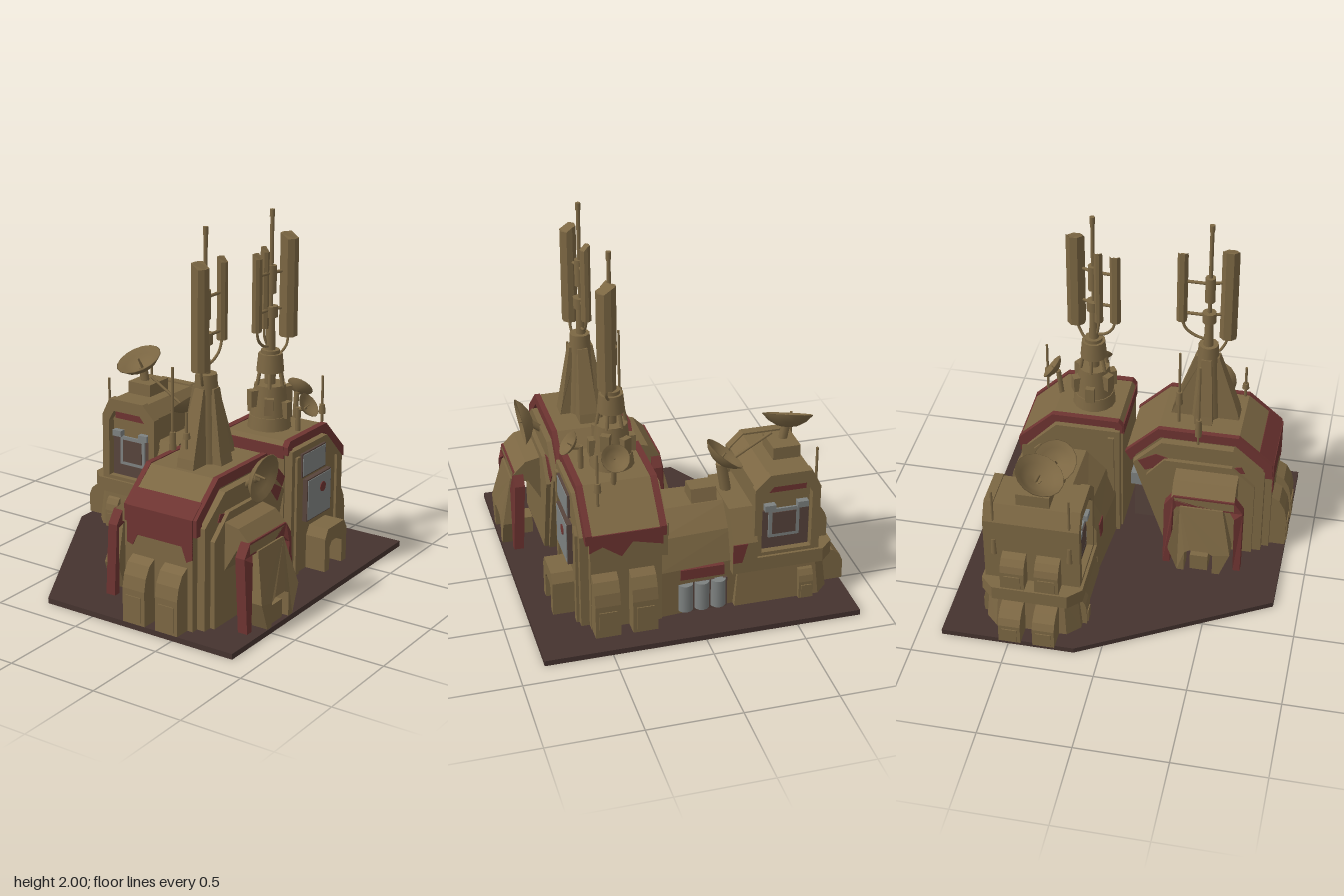
import * as THREE from 'three';

const mat = (name, color) => {
  const m = new THREE.MeshStandardMaterial({ color });
  m.name = name;
  return m;
};

export function createModel() {
  const root = new THREE.Group();
  const tan = mat('tan', 0x7c6743), red = mat('faded red', 0x6e3431), dark = mat('dark earth', 0x45332f),
    silver = mat('silver', 0x7d8180), brown = mat('brown', 0x57443c);

  const add = (name, geo, m, x = 0, y = 0, z = 0) => {
    const mesh = new THREE.Mesh(geo, m);
    mesh.name = name;
    mesh.position.set(x, y, z);
    root.add(mesh);
    return mesh;
  };
  const box = (name, m, x, y, z, w, h, d) => add(name, new THREE.BoxGeometry(w, h, d), m, x, y, z);
  const cyl = (name, m, x, y0, y1, z, rb, rt = rb, n = 12) =>
    add(name, new THREE.CylinderGeometry(rt, rb, y1 - y0, n), m, x, (y0 + y1) / 2, z);
  const shapeOf = (pts, hole) => {
    const s = new THREE.Shape(pts.map(p => new THREE.Vector2(...p)));
    if (hole) s.holes.push(new THREE.Path(hole.map(p => new THREE.Vector2(...p))));
    return s;
  };
  const extrude = (pts, depth, hole) =>
    new THREE.ExtrudeGeometry(shapeOf(pts, hole), { depth, bevelEnabled: false });
  // extrusions along x from (z, y), along y from (x, z), along z from (x, y)
  const alongX = (pts, x0, x1) => extrude(pts.map(([z, y]) => [-z, y]), x1 - x0).rotateY(Math.PI / 2).translate(x0, 0, 0);
  const alongY = (pts, y0, y1) => extrude(pts.map(([x, z]) => [x, -z]), y1 - y0).rotateX(-Math.PI / 2).translate(0, y0, 0);
  const alongZ = (pts, z0, z1, hole) => extrude(pts, z1 - z0, hole).translate(0, 0, z0);
  const warp = (geo, f) => {
    const p = geo.attributes.position, v = new THREE.Vector3();
    for (let i = 0; i < p.count; i++) {
      f(v.fromBufferAttribute(p, i));
      p.setXYZ(i, v.x, v.y, v.z);
    }
    geo.computeVertexNormals();
    return geo;
  };
  // reflects a triangle soup in x and restores its winding
  const mirrorX = geo => {
    const g = geo.index ? geo.toNonIndexed() : geo;
    const p = g.attributes.position, a = new THREE.Vector3(), b = new THREE.Vector3();
    g.scale(-1, 1, 1);
    for (let i = 0; i < p.count; i += 3) {
      a.fromBufferAttribute(p, i + 1);
      b.fromBufferAttribute(p, i + 2);
      p.setXYZ(i + 1, b.x, b.y, b.z);
      p.setXYZ(i + 2, a.x, a.y, a.z);
    }
    g.computeVertexNormals();
    return g;
  };
  const rod = (name, a, b, r, m = tan) => {
    const A = new THREE.Vector3(...a), B = new THREE.Vector3(...b), d = B.clone().sub(A);
    const mesh = add(name, new THREE.CylinderGeometry(r, r, d.length(), 8), m);
    mesh.position.copy(A.add(B).multiplyScalar(0.5));
    mesh.quaternion.setFromUnitVectors(new THREE.Vector3(0, 1, 0), d.normalize());
  };
  const cable = (...pts) => add('cable', new THREE.TubeGeometry(
    new THREE.CatmullRomCurve3(pts.map(p => new THREE.Vector3(...p))), 16, 0.008, 6), tan);
  // thick bowl on a short feed, opening along dir
  const dish = (x, y, z, r, dir) => {
    const prof = [[0, -0.42], [0.4, -0.35], [0.75, -0.16], [1, 0.1], [0.97, 0.12], [0.7, -0.08], [0.4, -0.26], [0, -0.34]];
    const g = new THREE.LatheGeometry(prof.map(p => new THREE.Vector2(p[0] * r, p[1] * r)), 16);
    const d = add('dish', g, tan, x, y, z);
    d.quaternion.setFromUnitVectors(new THREE.Vector3(0, 1, 0), new THREE.Vector3(...dir).normalize());
    const feed = new THREE.Mesh(new THREE.CylinderGeometry(r * 0.04, r * 0.06, r * 0.5, 6), tan);
    feed.name = 'dishFeed';
    feed.position.y = -r * 0.1;
    d.add(feed);
  };
  // rounded vent hood, facing +z before turning
  const hood = (x, y, z, turn, h, d, w = 0.135) => {
    const prof = [[-0.03, 0], [d, 0], [d, h * 0.55], [d * 0.85, h * 0.75], [d * 0.5, h * 0.92], [0, h], [-0.03, h]];
    add('ventHood', alongX(prof, -w / 2, w / 2), tan, x, y, z).rotation.y = turn;
    const n = new THREE.Vector3(Math.sin(turn), 0, Math.cos(turn));
    const rim = add('hoodRim', new THREE.BoxGeometry(w * 0.7, h * 0.4, 0.012), tan, x + n.x * d, y + h * 0.25, z + n.z * d);
    rim.rotation.y = turn;
  };

  // ground plate
  add('basePlate', alongY([[-0.85, -0.87], [0.86, -0.87], [0.86, 0.86], [-0.29, 0.86], [-0.85, -0.14]], 0, 0.03), dark);

  // front hall
  const hc = 0.365;
  const hall = [[0.77, 0.03], [0.77, 0.63], [0.575, 0.79], [0.127, 0.79], [-0.055, 0.61], [-0.02, 0.55], [0.15, 0.03]];
  add('hallBody', alongX(hall, hc - 0.2, hc + 0.2), tan);
  const trim = [[0.768, 0.54], [0.768, 0.63], [0.575, 0.795], [0.127, 0.795], [-0.06, 0.61], [-0.025, 0.55],
    [0.005, 0.6], [0.14, 0.74], [0.56, 0.74], [0.72, 0.6], [0.72, 0.54]];
  const step = [[0.73, 0.03], [0.73, 0.58], [0.55, 0.72], [0.15, 0.72], [-0.01, 0.56], [0.17, 0.03]];
  const step2 = [[0.68, 0.03], [0.68, 0.5], [0.55, 0.62], [0.17, 0.62], [0.07, 0.5], [0.19, 0.03]];
  const arch = [[0.64, 0.03], [0.64, 0.43], [0.59, 0.5], [0.25, 0.5], [0.2, 0.43], [0.2, 0.03],
    [0.24, 0.03], [0.25, 0.4], [0.27, 0.43], [0.57, 0.43], [0.595, 0.4], [0.6, 0.03]];
  const porch = [[0.53, 0.03], [0.585, 0.18], [0.53, 0.44], [0.29, 0.44], [0.235, 0.18], [0.29, 0.03],
    [0.33, 0.03], [0.33, 0.16], [0.36, 0.18], [0.46, 0.18], [0.49, 0.16], [0.49, 0.03]];
  for (const s of [1, -1]) {
    const side = (name, geo, m) => add(name, s > 0 ? geo : mirrorX(geo), m, hc);
    side('roofTrim', alongX(trim, 0.19, 0.22), red);
    side('sideStep', alongX(step, 0.19, 0.245), tan);
    side('innerStep', alongX(step2, 0.24, 0.27), tan);
    side('porchRoof', alongZ([[0.26, 0.58], [0.35, 0.56], [0.42, 0.49], [0.42, 0.44], [0.34, 0.44], [0.26, 0.3]], 0.24, 0.59), tan);
    side('redArch', warp(alongX(arch, 0.385, 0.44), v => { if (v.y > 0.42) v.x -= 0.02; }), red);
    side('porch', warp(alongX(porch, 0.4, 0.49), v => { if (v.x > 0.45 && v.y > 0.3) v.x = 0.43; }), tan);
    side('porchVent', alongX([[0.46, 0.03], [0.46, 0.13], [0.36, 0.13], [0.36, 0.03]], 0.3, 0.47), tan);
    // slanted wall patches
    side('wearPatch', alongX([[0.62, 0.58], [0.6, 0.62], [0.56, 0.61], [0.57, 0.57]], 0.244, 0.25), red);
    side('wearPatch', alongX([[0.06, 0.52], [0.02, 0.58], [0.12, 0.64], [0.19, 0.62], [0.15, 0.56]], 0.244, 0.25), red);
    hood(hc + s * 0.1, 0.03, 0.77, 0, 0.34, 0.09);
  }
  add('frontPaint', alongZ([[0.165, 0.63], [0.565, 0.63], [0.565, 0.42], [0.53, 0.4], [0.5, 0.48], [0.23, 0.48], [0.2, 0.42], [0.165, 0.43]],
    0.768, 0.775), red);
  add('eavePaint', alongX([[0.772, 0.63], [0.692, 0.7], [0.688, 0.695], [0.768, 0.625]], hc - 0.2, hc + 0.2), red);
  box('canister', brown, hc, 0.14, 0.03, 0.14, 0.22, 0.12);
  box('canisterTop', silver, hc, 0.295, 0, 0.14, 0.08, 0.11);

  // hall tower with four raking legs
  cyl('towerCore', tan, hc, 0.79, 1.2, 0.36, 0.09, 0.055);
  cyl('towerCap', tan, hc, 1.15, 1.25, 0.36, 0.062, 0.055);
  for (let i = 0; i < 4; i++) {
    const r = i % 2 ? 0.13 : 0.19;
    add('towerLeg', warp(alongX([[0.02, 0.79], [r, 0.79], [r - 0.01, 0.84], [0.065, 1.18], [0.02, 1.18]], -0.05, 0.05),
      v => { if (v.y > 1) v.x *= 0.55; }), tan, hc, 0, 0.36).rotation.y = i * Math.PI / 2;
  }

  // antenna masts: panels are [x, z, bottom, top, width, depth]
  const mast = (x, z, y0, top, panels) => {
    cyl('mastFoot', tan, x, y0, y0 + 0.2, z, 0.028, 0.022);
    cyl('mastRod', tan, x, y0, top, z, 0.011, 0.011, 8);
    cyl('mastSleeve', tan, x, 1.53, 1.68, z, 0.028);
    cyl('mastCollar', tan, x, 1.4, 1.46, z, 0.038);
    cyl('mastTip', tan, x, top - 0.04, top, z, 0.014);
    for (const [px, pz, b, t, w, d] of panels) {
      const c = w * 0.3;
      const pts = [[-w / 2 + c, -d / 2], [w / 2 - c, -d / 2], [w / 2, -d / 2 + c], [w / 2, d / 2 - c],
        [w / 2 - c, d / 2], [-w / 2 + c, d / 2], [-w / 2, d / 2 - c], [-w / 2, -d / 2 + c]];
      add('antennaPanel', warp(alongY(pts, b, t), v => { if (v.x > 0 && v.y > t - 0.01) v.y -= 0.025; }), tan, px, 0, pz);
      for (const y of [1.44, 1.64]) rod('panelBracket', [x, y, z], [px, y, pz], 0.009);
      cable([px, b + 0.01, pz], [px, b - 0.05, pz + (z - pz) * 0.15], [(x + px) / 2, b - 0.09, (z + pz) / 2], [x, y0 + 0.04, z]);
    }
  };
  mast(0.358, 0.36, 1.24, 2.0, [[0.395, 0.46, 1.29, 1.84, 0.08, 0.09], [0.36, 0.21, 1.39, 1.82, 0.05, 0.055]]);
  mast(0.35, -0.273, 1.2, 1.98, [[0.395, -0.378, 1.28, 1.84, 0.09, 0.095], [0.34, -0.15, 1.34, 1.76, 0.045, 0.055], [0.33, -0.24, 1.34, 1.78, 0.045, 0.045]]);

  // whip aerials: [x, z, bottom, top]
  for (const [x, z, b, t] of [[0.15, 0.35, 0.6, 1.24], [0.245, 0.225, 0.78, 1.25], [0.39, 0.57, 0.91, 1.1],
    [0.5, -0.58, 0.72, 1.02], [-0.67, -0.6, 0.32, 0.9], [-0.67, -0.19, 0.32, 0.9]]) {
    cyl('whipAerial', tan, x, b, t, z, 0.008, 0.007, 6);
    cyl('aerialBase', tan, x, b + (t - b) * 0.28, b + (t - b) * 0.45, z, 0.02, 0.016, 8);
  }
  dish(0.7, 0.755, 0.35, 0.13, [1, -0.15, 0]);
  rod('dishArm', [0.58, 0.68, 0.35], [0.67, 0.75, 0.35], 0.02);

  // rear block
  const bc = 0.375;
  const block = [[-0.08, 0.03], [-0.08, 0.76], [-0.1, 0.79], [-0.47, 0.79], [-0.665, 0.6], [-0.665, 0.03]];
  add('blockBody', alongX(block, bc - 0.19, bc + 0.19), tan);
  const blockTrim = [[-0.075, 0.72], [-0.075, 0.765], [-0.1, 0.795], [-0.475, 0.795], [-0.672, 0.605], [-0.672, 0.55],
    [-0.63, 0.56], [-0.455, 0.75], [-0.12, 0.75], [-0.12, 0.72]];
  const blockStep = [[-0.09, 0.03], [-0.09, 0.74], [-0.45, 0.74], [-0.62, 0.57], [-0.62, 0.03]];
  for (const s of [1, -1]) {
    const side = (name, geo, m) => add(name, s > 0 ? geo : mirrorX(geo), m, bc);
    side('blockTrim', alongX(blockTrim, 0.18, 0.215), red);
    side('blockStep', alongX(blockStep, 0.18, 0.235), tan);
    side('blockPilaster', alongX([[-0.12, 0.03], [-0.12, 0.7], [-0.155, 0.7], [-0.155, 0.03]], 0.23, 0.25), tan);
    side('blockPilaster', alongX([[-0.54, 0.03], [-0.54, 0.6], [-0.58, 0.56], [-0.58, 0.03]], 0.23, 0.25), tan);
    hood(bc + 0.02 + s * 0.1, 0.03, -0.665, Math.PI, 0.34, 0.085);
  }
  add('rearPaint', alongZ([[0.18, 0.6], [0.57, 0.6], [0.57, 0.5], [0.5, 0.53], [0.4, 0.46], [0.34, 0.54], [0.18, 0.5]], -0.672, -0.664), red);
  add('frontTrim', alongX([[-0.072, 0.7], [-0.072, 0.768], [-0.079, 0.768], [-0.079, 0.7]], bc - 0.19, bc + 0.19), red);
  box('upperPanelFrame', brown, 0.613, 0.64, -0.295, 0.02, 0.135, 0.245);
  box('upperPanel', silver, 0.622, 0.64, -0.295, 0.009, 0.12, 0.23);
  box('doorFrame', brown, 0.62, 0.435, -0.33, 0.035, 0.24, 0.25);
  box('door', silver, 0.637, 0.435, -0.33, 0.009, 0.225, 0.235);
  add('doorMark', new THREE.CylinderGeometry(0.028, 0.028, 0.006, 16).rotateZ(Math.PI / 2), red, 0.643, 0.475, -0.36);
  add('doorPorch', alongX([[-0.25, 0.03], [-0.25, 0.22], [-0.28, 0.27], [-0.45, 0.27], [-0.48, 0.22], [-0.48, 0.03],
    [-0.43, 0.03], [-0.43, 0.16], [-0.41, 0.19], [-0.32, 0.19], [-0.3, 0.16], [-0.3, 0.03]], 0.6, 0.73), tan);

  // rear turret with gear and dishes
  const tx = 0.35, tz = -0.275;
  cyl('turretDrum', tan, tx, 0.79, 0.86, tz, 0.12, 0.11, 16);
  cyl('turretBody', tan, tx, 0.86, 1.03, tz, 0.105, 0.085, 16);
  cyl('turretNeck', tan, tx, 1.03, 1.12, tz, 0.03);
  cyl('turretCap', tan, tx, 1.1, 1.2, tz, 0.075, 0.065);
  cyl('turretRim', tan, tx, 1.19, 1.22, tz, 0.05);
  for (let i = 0; i < 6; i++) {
    const a = i * Math.PI / 3, c = Math.cos(a), s = Math.sin(a);
    box('turretGear', tan, tx + c * 0.1, 0.9 + (i % 3) * 0.03, tz + s * 0.1, 0.05, 0.09, 0.05).rotation.y = -a;
    rod('turretStrut', [tx + c * 0.08, 1.02, tz + s * 0.08], [tx + c * 0.06, 1.12, tz + s * 0.06], 0.01);
  }
  dish(0.58, 0.94, -0.29, 0.07, [0.75, 0.6, 0]);
  rod('dishPost', [0.52, 0.79, -0.29], [0.52, 0.92, -0.29], 0.015);
  rod('dishArm', [0.52, 0.91, -0.29], [0.57, 0.92, -0.29], 0.012);
  dish(0.39, 0.95, -0.52, 0.075, [0, 0.6, -0.75]);
  rod('dishPost', [0.39, 0.76, -0.47], [0.39, 0.93, -0.49], 0.015);

  // link passage widening toward the rear block
  const link = [[-0.62, 0.03], [-0.62, 0.3], [-0.57, 0.47], [-0.47, 0.585], [-0.29, 0.585], [-0.19, 0.47], [-0.14, 0.3], [-0.14, 0.03]];
  add('linkPassage', warp(alongX(link, -0.24, 0.2), v => { if (v.x > 0) v.z = -0.38 + (v.z + 0.38) * 1.14; }), tan);
  add('linkVent', alongX([[-0.33, 0.57], [-0.35, 0.66], [-0.45, 0.66], [-0.47, 0.57]], -0.17, -0.03), tan);
  box('linkStripe', red, -0.04, 0.27, -0.638, 0.24, 0.06, 0.03);
  box('tankRack', brown, -0.04, 0.12, -0.625, 0.28, 0.18, 0.03);
  for (let i = 0; i < 3; i++) cyl('tank', silver, -0.13 + i * 0.09, 0.05, 0.21, -0.635, 0.042);

  // left cabin
  const cz = -0.395;
  const deck = [[-0.77, -0.6], [-0.7, -0.67], [-0.2, -0.67], [-0.2, -0.12], [-0.7, -0.12], [-0.77, -0.19]];
  add('cabinDeck', alongY(deck, 0.24, 0.32), tan);
  add('cabinBase', warp(alongY(deck, 0.03, 0.25), v => {
    v.x = -0.48 + (v.x + 0.48) * (v.y < 0.1 ? 0.94 : 0.86);
    v.z = cz + (v.z - cz) * (v.y < 0.1 ? 0.95 : 0.88);
  }), tan);
  add('cabinBody', alongZ([[-0.68, 0.31], [-0.68, 0.7], [-0.63, 0.79], [-0.4, 0.79], [-0.33, 0.72], [-0.33, 0.31]], -0.61, -0.18), tan);
  add('cabinShoulder', alongX([[-0.67, 0.3], [-0.67, 0.42], [-0.58, 0.59], [-0.21, 0.59], [-0.12, 0.42], [-0.12, 0.3]], -0.335, -0.2), tan);
  box('cabinHatch', tan, -0.545, 0.82, cz, 0.15, 0.08, 0.18);
  for (const s of [1, -1]) {
    const at = d => cz + s * d;
    const z0 = Math.min(at(0.21), at(0.26));
    add('cabinPortal', alongZ([[-0.68, 0.31], [-0.68, 0.7], [-0.63, 0.8], [-0.4, 0.8], [-0.32, 0.72], [-0.32, 0.31]], z0, z0 + 0.05,
      [[-0.635, 0.34], [-0.36, 0.34], [-0.36, 0.66], [-0.42, 0.73], [-0.6, 0.73], [-0.635, 0.67]]), tan);
    box('portalPanel', brown, -0.495, 0.455, at(0.218), 0.27, 0.23, 0.012);
    box('windowFrame', silver, -0.49, 0.495, at(0.228), 0.17, 0.17, 0.012);
    box('window', brown, -0.49, 0.495, at(0.234), 0.13, 0.13, 0.008);
    box('portalStripe', red, -0.5, 0.705, at(0.22), 0.22, 0.05, 0.02);
    for (const x of [-0.59, -0.41]) box('lamp', silver, x, 0.595, at(0.23), 0.06, 0.035, 0.04);
    add('shoulderPaint', alongZ([[-0.28, 0.42], [-0.25, 0.31], [-0.2, 0.31], [-0.2, 0.42]], at(0.278) - 0.003, at(0.278) + 0.003), red);
    hood(-0.61, 0.03, at(0.235), s > 0 ? 0 : Math.PI, 0.18, 0.05, 0.08);
    hood(-0.75, 0.03, cz + s * 0.093, -Math.PI / 2, 0.2, 0.115, 0.12);
    hood(-0.68, 0.32, cz + s * 0.093, -Math.PI / 2, 0.19, 0.08, 0.13);
  }
  dish(-0.585, 0.97, -0.365, 0.135, [-0.15, 0.9, 0.4]);
  rod('dishPost', [-0.55, 0.82, -0.38], [-0.57, 0.93, -0.38], 0.025);
  dish(-0.235, 0.79, -0.365, 0.12, [-0.62, 0.78, 0]);
  rod('dishPost', [-0.25, 0.57, -0.37], [-0.22, 0.75, -0.37], 0.03);
  rod('dishBoom', [-0.5, 0.89, -0.365], [-0.3, 0.77, -0.365], 0.008);

  return root;
}
